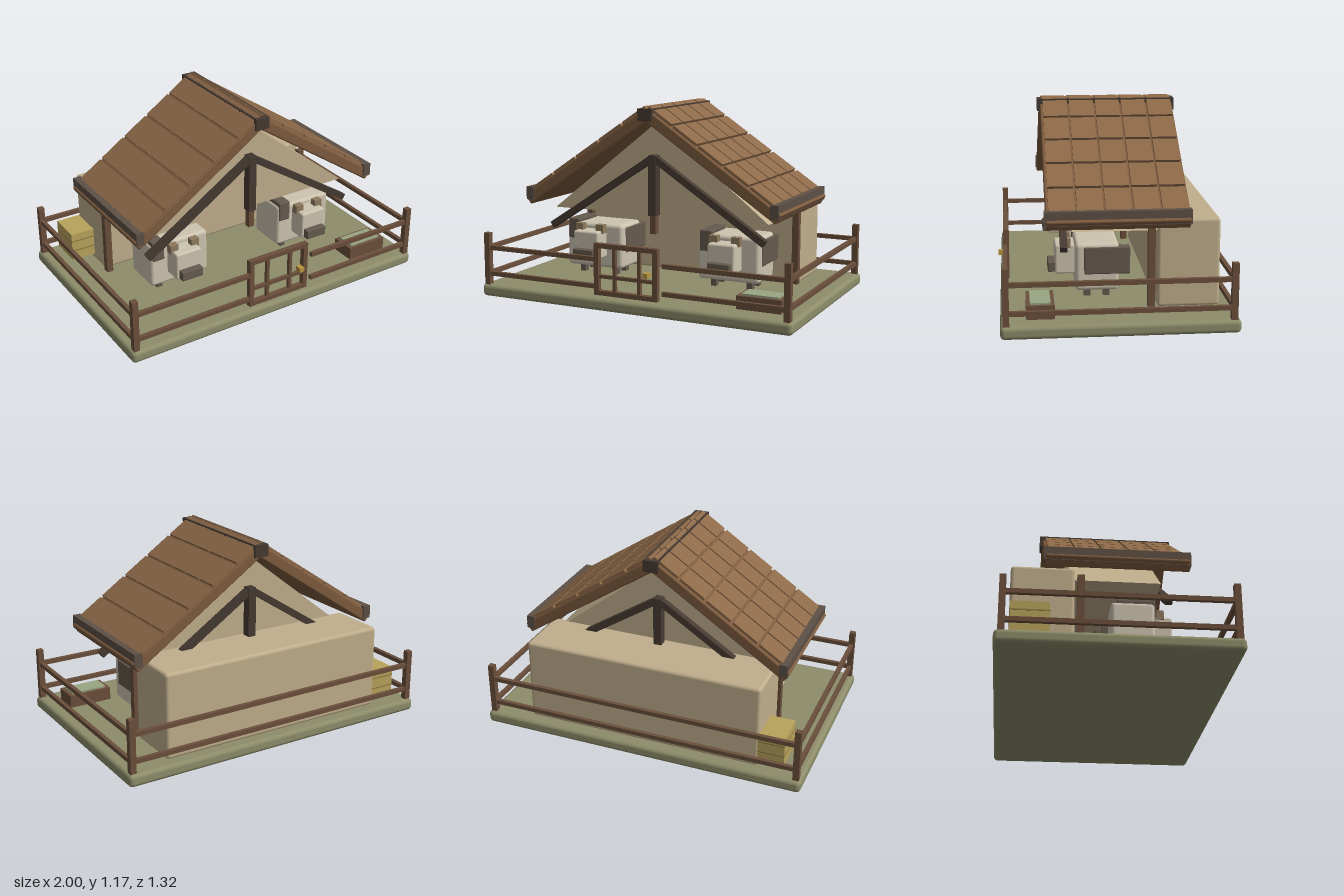
import * as THREE from 'three';
import { RoundedBoxGeometry } from 'three/addons/geometries/RoundedBoxGeometry.js';

const COLORS = {
  grass: 0x8d8d6b, fence: 0x6b4f3b, timber: 0x463a32, tile: 0x8d6948, slab: 0x7d5b3e,
  plaster: 0xc0ae8c, straw: 0xb8a25c, strawBand: 0x8f7c42, hide: 0xcdc4b0,
  patch: 0x655a4e, ear: 0x8f7a5e, water: 0x99a584, latch: 0xb9963f, eave: 0x5d5046,
};
const mats = {};
for (const key in COLORS) mats[key] = new THREE.MeshStandardMaterial({ color: COLORS[key] });

function add(parent, name, geometry, mat) {
  const mesh = new THREE.Mesh(geometry, mats[mat]);
  mesh.name = name;
  parent.add(mesh);
  return mesh;
}

// Box given by its min and max on each axis; r rounds its edges
function box(parent, name, mat, [x0, x1], [y0, y1], [z0, z1], r = 0) {
  const size = [x1 - x0, y1 - y0, z1 - z0];
  const geometry = r ? new RoundedBoxGeometry(...size, 3, r) : new THREE.BoxGeometry(...size);
  const mesh = add(parent, name, geometry, mat);
  mesh.position.set((x0 + x1) / 2, (y0 + y1) / 2, (z0 + z1) / 2);
  return mesh;
}

function group(parent, name) {
  const g = new THREE.Group();
  g.name = name;
  parent.add(g);
  return g;
}

function buildFence(root) {
  const fence = group(root, 'fence');
  const X = 0.967, Z = 0.618, t = 0.012;
  for (const sx of [-1, 1]) {
    for (const sz of [-1, 1]) {
      box(fence, 'fencePost', 'fence', [sx * X - 0.018, sx * X + 0.018], [0.07, 0.392], [sz * Z - 0.018, sz * Z + 0.018]);
    }
  }
  for (const y of [0.14, 0.3]) {
    const ys = [y - 0.013, y + 0.013];
    for (const s of [-1, 1]) box(fence, 'sideRail', 'fence', [s * X - t, s * X + t], ys, [-Z, Z]);
    box(fence, 'backRail', 'fence', [-X, X], ys, [-Z - t, -Z + t]);
    box(fence, 'frontRailRight', 'fence', [-X, -0.22], ys, [Z - t, Z + t]);
    box(fence, 'frontRailLeft', 'fence', [0.22, X], ys, [Z - t, Z + t]);
  }
}

function buildGate(root) {
  const gate = group(root, 'gate');
  const z = [0.597, 0.63], thin = [0.603, 0.624];
  for (const x of [-0.22, 0.16]) box(gate, 'gateStile', 'fence', [x, x + 0.03], [0.09, 0.395], z);
  for (const y of [0.09, 0.368]) box(gate, 'gateRail', 'fence', [-0.22, 0.19], [y, y + 0.027], z);
  for (const x of [-0.1, 0.06]) box(gate, 'gateBar', 'fence', [x, x + 0.02], [0.1, 0.38], thin);
  box(gate, 'gateCrossbar', 'fence', [-0.2, 0.17], [0.19, 0.21], thin);
  box(gate, 'gateLatch', 'latch', [0.115, 0.145], [0.228, 0.256], [0.62, 0.66]);
}

function buildRoof(root) {
  const roof = group(root, 'roof');
  const angle = 0.59, pitch = 0.192;
  for (const s of [-1, 1]) {
    // Local x runs down the slope, local y is the outward normal
    const side = group(roof, s > 0 ? 'leftSlope' : 'rightSlope');
    side.position.y = 1.162;
    if (s < 0) side.rotation.y = Math.PI;
    const plane = group(side, 'slope');
    plane.rotation.z = -angle;
    box(plane, 'roofSlab', 'slab', [0, 1.01], [-0.067, 0], [-0.4, 0.395], 0.01);
    for (let row = 0; row < 5; row++) {
      for (let col = 0; col < 5; col++) {
        const x = 0.004 + row * pitch, z = -0.39 + col * 0.156;
        box(plane, 'roofTile', 'tile', [x, x + pitch - 0.016], [-0.01, 0.017], [z, z + 0.144]);
      }
    }
    box(roof, 'eaveBeam', 'eave', [s * 0.8 - 0.025, s * 0.8 + 0.025], [0.575, 0.655], [-0.405, 0.405]);
  }
  box(roof, 'ridgeBeam', 'timber', [-0.045, 0.045], [1.088, 1.16], [-0.412, 0.412]);
}

function buildGable(root) {
  // Solid loft under the roof
  const shape = new THREE.Shape([[-0.71, 0.513], [0.71, 0.513], [0, 1.072]].map(p => new THREE.Vector2(...p)));
  const loft = new THREE.ExtrudeGeometry(shape, { depth: 0.5, bevelEnabled: false });
  add(root, 'gableLoft', loft, 'plaster').position.z = -0.25;

  // Exposed truss at each end
  for (const z of [-0.292, 0.292]) {
    const truss = group(root, z > 0 ? 'frontTruss' : 'backTruss');
    box(truss, 'kingPost', 'timber', [-0.025, 0.025], [0.52, 0.88], [z - 0.027, z + 0.027]);
    box(truss, 'postPendant', 'fence', [-0.019, 0.019], [0.41, 0.53], [z - 0.019, z + 0.019]);
    for (const s of [-1, 1]) {
      const brace = add(truss, 'brace', new THREE.BoxGeometry(0.84, 0.04, 0.04), 'timber');
      brace.position.set(s * 0.352, 0.638, z);
      brace.rotation.z = -s * Math.atan2(0.455, 0.7);
    }
  }
}

function buildAnimal(root, x) {
  const animal = group(root, 'animal');
  animal.position.x = x;
  box(animal, 'body', 'hide', [-0.195, 0.193], [0.15, 0.424], [-0.022, 0.224], 0.022);
  box(animal, 'head', 'hide', [-0.085, 0.085], [0.22, 0.392], [0.2, 0.335], 0.012);
  box(animal, 'muzzle', 'patch', [-0.07, 0.07], [0.228, 0.286], [0.32, 0.375], 0.006);
  box(animal, 'shoulderPatch', 'patch', [-0.183, -0.105], [0.32, 0.446], [0.015, 0.228], 0.008);
  box(animal, 'flankPatch', 'patch', [0.14, 0.198], [0.246, 0.404], [-0.085, 0.176], 0.008);
  box(animal, 'tail', 'patch', [-0.015, 0.015], [0.236, 0.36], [-0.058, -0.015]);
  for (const s of [-1, 1]) {
    box(animal, 'ear', 'ear', [s * 0.07 - 0.026, s * 0.07 + 0.026], [0.376, 0.43], [0.245, 0.287]);
    for (const z of [0.045, 0.155]) {
      box(animal, 'leg', 'patch', [s * 0.115 - 0.017, s * 0.115 + 0.017], [0.102, 0.17], [z - 0.019, z + 0.019]);
    }
  }
}

function buildTrough(root) {
  const trough = group(root, 'trough');
  const y = [0.07, 0.152];
  for (const x of [0.62, 0.865]) box(trough, 'troughEnd', 'fence', [x, x + 0.023], y, [0.353, 0.508]);
  for (const z of [0.353, 0.487]) box(trough, 'troughSide', 'fence', [0.62, 0.888], y, [z, z + 0.021]);
  box(trough, 'water', 'water', [0.643, 0.865], [0.08, 0.162], [0.374, 0.487]);
}

function buildBale(root) {
  const bale = group(root, 'strawBale');
  box(bale, 'bale', 'straw', [-0.88, -0.72], [0.11, 0.29], [-0.578, -0.367]);
  for (const y of [0.174, 0.24]) {
    box(bale, 'baleBand', 'strawBand', [-0.882, -0.72], [y - 0.004, y + 0.004], [-0.58, -0.365]);
  }
}

export function createModel() {
  const root = new THREE.Group();
  root.name = 'barnyard';
  box(root, 'ground', 'grass', [-1, 1], [0, 0.075], [-0.656, 0.65], 0.025);
  box(root, 'backRoom', 'plaster', [-0.73, 0.73], [0.07, 0.58], [-0.582, -0.228], 0.02);
  for (const x of [-0.72, 0.72]) box(root, 'roofPost', 'fence', [x - 0.02, x + 0.02], [0.07, 0.535], [-0.215, -0.175]);
  buildFence(root);
  buildGate(root);
  buildGable(root);
  buildRoof(root);
  for (const x of [-0.45, 0.45]) buildAnimal(root, x);
  buildTrough(root);
  buildBale(root);
  return root;
}
